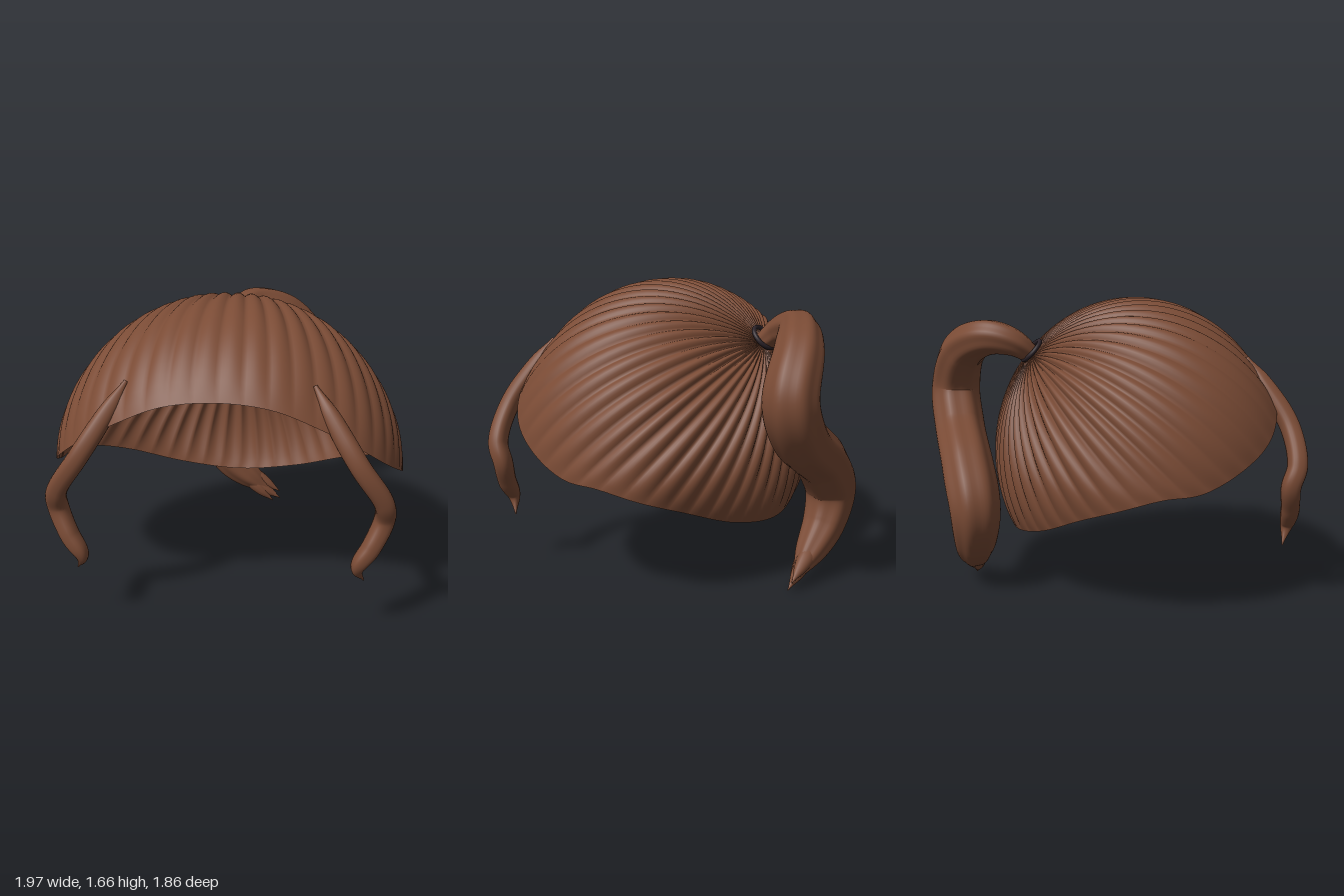
import * as THREE from 'three';
import { mergeVertices } from 'three/addons/utils/BufferGeometryUtils.js';

const V = (p) => new THREE.Vector3(...p);
const hair = new THREE.MeshStandardMaterial({ color: 0x7a4b35, side: THREE.DoubleSide });
const dark = new THREE.MeshStandardMaterial({ color: 0x2b2228 });

function addMesh(parent, name, geometry, material = hair) {
  const mesh = new THREE.Mesh(geometry, material);
  mesh.name = name;
  parent.add(mesh);
  return mesh;
}

// Tapered strand: a unit tube whose rings are scaled by a radius profile, with soft grooves
function strand(points, radii, { segs = 80, sides = 32, lobes = 0, groove = 0 } = {}) {
  const curve = new THREE.CatmullRomCurve3(points.map(V));
  const profile = new THREE.SplineCurve(radii.map((r, i) => new THREE.Vector2(i, r)));
  const geo = new THREE.TubeGeometry(curve, segs, 1, sides);
  const pos = geo.attributes.position;
  const v = new THREE.Vector3();
  for (let i = 0; i <= segs; i++) {
    const centre = curve.getPointAt(i / segs);
    const radius = Math.max(0.003, profile.getPoint(i / segs).y);
    for (let j = 0; j <= sides; j++) {
      const k = i * (sides + 1) + j;
      const r = radius * (1 - groove * (0.5 + 0.5 * Math.cos((j / sides) * Math.PI * 2 * lobes)));
      v.fromBufferAttribute(pos, k).sub(centre).multiplyScalar(r).add(centre);
      pos.setXYZ(k, v.x, v.y, v.z);
    }
  }
  geo.deleteAttribute('uv');
  geo.deleteAttribute('normal');
  const merged = mergeVertices(geo, 1e-5);
  merged.computeVertexNormals();
  return merged;
}

// Cap: pleats run over an ellipsoid from the gathering point out to the hairline
function capGeometry() {
  const centre = V([0, 0.7, 0.2]), size = V([1, 0.96, 0.82]);
  const taper = (ny) => 1 - 0.1 * Math.max(0, ny);
  const toUnit = (p) => {
    const n = p.clone().sub(centre).divide(size);
    n.x /= taper(n.y);
    return n;
  };
  const half = [
    [0.27, 1.25, 0.88], [0.5, 1.15, 0.85], [0.7, 1.03, 0.79], [0.85, 0.9, 0.66],
    [0.95, 0.78, 0.45], [0.985, 0.69, 0.22], [0.965, 0.67, 0.02], [0.88, 0.61, -0.17],
    [0.7, 0.53, -0.32], [0.38, 0.4, -0.46],
  ];
  const mirrored = half.map(([x, y, z]) => [-x, y, z]).reverse();
  const rim = new THREE.CatmullRomCurve3(
    [[0, 1.28, 0.88], ...half, [0, 0.335, -0.52], ...mirrored].map(V), true);
  const pole = toUnit(V([0, 1.335, -0.41]));
  const poleDir = pole.clone().normalize();
  const pleats = 48, cols = pleats * 8, rows = 28;
  const positions = [], index = [];
  const rims = [];
  for (let j = 0; j < cols; j++) rims.push(toUnit(rim.getPointAt(j / cols)));
  for (let i = 0; i <= rows; i++) {
    const t = i / rows;
    for (let j = 0; j < cols; j++) {
      const u = j / cols;
      const rimDir = rims[j].clone().normalize();
      const angle = poleDir.angleTo(rimDir);
      const n = poleDir.clone().multiplyScalar(Math.sin((1 - t) * angle))
        .addScaledVector(rimDir, Math.sin(t * angle)).divideScalar(Math.sin(angle));
      const back = 0.5 - 0.5 * Math.cos(u * Math.PI * 2);
      const depth = (0.02 + 0.018 * back) * Math.pow(Math.max(0, Math.sin(Math.PI * t)), 0.7);
      const ridge = Math.abs(Math.sin(u * pleats * Math.PI)) - 0.6;
      n.multiplyScalar(THREE.MathUtils.lerp(pole.length(), rims[j].length(), t * t) + depth * ridge);
      n.x *= taper(n.y);
      n.multiply(size).add(centre);
      positions.push(n.x, n.y, n.z);
      if (i < rows) {
        const a = i * cols + j, b = i * cols + (j + 1) % cols;
        index.push(a, a + cols, b + cols);
        if (i > 0) index.push(a, b + cols, b);
      }
    }
  }
  const geo = new THREE.BufferGeometry();
  geo.setAttribute('position', new THREE.Float32BufferAttribute(positions, 3));
  geo.setIndex(index);
  geo.computeVertexNormals();
  return geo;
}

export function createModel() {
  const model = new THREE.Group();
  model.name = 'hairstyle';

  addMesh(model, 'hairCap', capGeometry());

  // Band around the root of the ponytail
  const tie = addMesh(model, 'hairTie', new THREE.TorusGeometry(0.072, 0.013, 12, 40), dark);
  tie.position.set(0, 1.365, -0.41);
  tie.quaternion.setFromUnitVectors(V([0, 0, 1]), V([0, 0.66, -0.75]).normalize());

  // S-shaped ponytail ending in a few loose points
  const ponytail = new THREE.Group();
  ponytail.name = 'ponytail';
  model.add(ponytail);
  addMesh(ponytail, 'ponytailBody', strand(
    [[0, 1.31, -0.37], [0, 1.41, -0.51], [0.08, 1.44, -0.65], [0.28, 1.35, -0.76],
      [0.42, 1.12, -0.79], [0.29, 0.9, -0.79], [0, 0.7, -0.79], [-0.15, 0.5, -0.78],
      [-0.09, 0.31, -0.77], [0.09, 0.15, -0.75], [0.24, 0.05, -0.735]],
    [0.05, 0.09, 0.12, 0.14, 0.15, 0.15, 0.15, 0.15, 0.13, 0.09, 0.01],
    { segs: 140, sides: 48, lobes: 7, groove: 0.07 }));
  const tips = [[0.27, 0.025, -0.73], [0.22, 0.01, -0.715], [0.265, 0.07, -0.75]];
  tips.forEach(([x, y, z], i) => addMesh(ponytail, 'ponytailTip' + (i + 1), strand(
    [[0, 0.22 + 0.2 * (y - 0.03), -0.76], [0.12, 0.09 + y, z - 0.01], [x, y, z]],
    [0.03, 0.05, 0.035, 0.003], { segs: 24, sides: 12 })));

  // Wavy locks framing the face
  const lock = [[0.47, 1.33, 0.72], [0.55, 1.2, 0.78], [0.7, 0.97, 0.87], [0.83, 0.77, 0.85],
    [0.84, 0.66, 0.81], [0.78, 0.52, 0.845], [0.715, 0.41, 0.865], [0.755, 0.315, 0.82]];
  for (const [name, side] of [['leftLock', 1], ['rightLock', -1]]) {
    addMesh(model, name, strand(lock.map(([x, y, z]) => [x * side, y, z]),
      [0.012, 0.045, 0.055, 0.056, 0.056, 0.056, 0.054, 0.045, 0.004],
      { segs: 90, sides: 24, lobes: 4, groove: 0.08 }));
  }
  return model;
}
